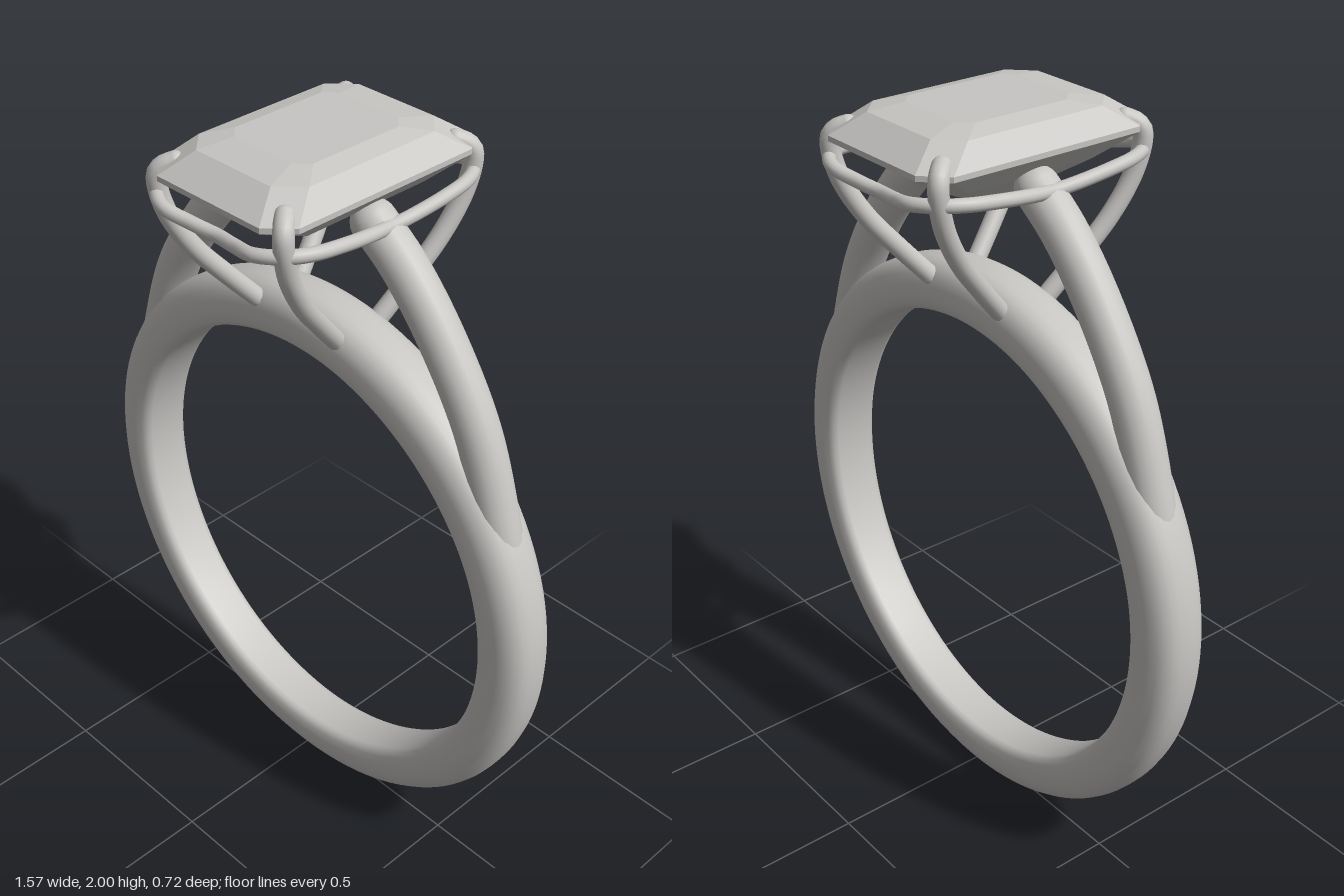
import * as THREE from 'three';

const silver = new THREE.MeshStandardMaterial({ color: 0xc8c6c3 });
silver.name = 'silver';

const v = (p) => new THREE.Vector3(...p);

function add(parent, name, geometry) {
  const mesh = new THREE.Mesh(geometry, silver);
  mesh.name = name;
  parent.add(mesh);
  return mesh;
}

// Round wire along a smooth path, with ball ends
function wire(parent, name, points, radius) {
  const group = new THREE.Group();
  group.name = name;
  const curve = new THREE.CatmullRomCurve3(points.map(v));
  add(group, name + 'Rod', new THREE.TubeGeometry(curve, 40, radius, 20));
  for (const p of [points[0], points[points.length - 1]]) {
    add(group, name + 'End', new THREE.SphereGeometry(radius, 20, 14)).position.set(...p);
  }
  parent.add(group);
}

// Finger band: rounded outside, flat inside, slightly wider at the top
function bandGeometry() {
  const half = [[0.782, 0.022], [0.777, 0.042], [0.765, 0.060], [0.745, 0.074], [0.72, 0.081],
    [0.69, 0.083], [0.664, 0.079], [0.65, 0.068], [0.645, 0.054]];
  const profile = [
    [0.645, 0],
    ...half.map(([r, z]) => [r, -z]).reverse(),
    [0.783, 0],
    ...half,
    [0.645, 0],
  ].map(([r, z]) => new THREE.Vector2(r, z));
  const g = new THREE.LatheGeometry(profile, 128);
  g.rotateX(Math.PI / 2);
  const pos = g.attributes.position;
  for (let i = 0; i < pos.count; i++) {
    pos.setZ(i, pos.getZ(i) * (1 + 0.11 * pos.getY(i) / 0.78));
  }
  g.translate(0, 0.782, 0);
  return g;
}

// Step-cut stone: stacked rectangles with cut corners, flat facets
function gemGeometry() {
  // half width, half depth, corner cut, height
  const rings = [
    [0.13, 0.172, 0.035, 2.0],
    [0.185, 0.262, 0.06, 1.986],
    [0.235, 0.342, 0.062, 1.932],
    [0.235, 0.342, 0.062, 1.918],
    [0.165, 0.235, 0.045, 1.852],
    [0.085, 0.12, 0.025, 1.792],
    [0.002, 0.02, 0.001, 1.73],
  ].map(([x, z, c, y]) => [
    [x, y, -z + c], [x, y, z - c], [x - c, y, z], [-x + c, y, z],
    [-x, y, z - c], [-x, y, -z + c], [-x + c, y, -z], [x - c, y, -z],
  ]);
  const out = [];
  const tri = (...pts) => pts.forEach((p) => out.push(...p));
  const top = rings[0], bottom = rings[rings.length - 1];
  for (let j = 0; j < 8; j++) {
    const k = (j + 1) % 8;
    tri([0, 2.0, 0], top[k], top[j]);
    tri([0, 1.73, 0], bottom[j], bottom[k]);
    for (let i = 0; i < rings.length - 1; i++) {
      const a = rings[i], b = rings[i + 1];
      tri(a[j], a[k], b[j]);
      tri(a[k], b[k], b[j]);
    }
  }
  const g = new THREE.BufferGeometry();
  g.setAttribute('position', new THREE.Float32BufferAttribute(out, 3));
  g.computeVertexNormals();
  return g;
}

// Wavy gallery rail around the stone, mirrored from one quarter
function railGeometry() {
  const quarter = [[0.246, 1.838, 0], [0.252, 1.844, 0.07], [0.256, 1.856, 0.17], [0.249, 1.864, 0.25],
    [0.219, 1.866, 0.308], [0.155, 1.86, 0.344], [0.075, 1.844, 0.328], [0, 1.836, 0.315]];
  const mirror = (list, sx, sz) => list.map(([x, y, z]) => [x * sx, y, z * sz]);
  const back = [...quarter].reverse();
  const loop = [
    ...quarter.slice(0, -1),
    ...mirror(back, -1, 1).slice(0, -1),
    ...mirror(quarter, -1, -1).slice(0, -1),
    ...mirror(back, 1, -1).slice(0, -1),
  ];
  return new THREE.TubeGeometry(new THREE.CatmullRomCurve3(loop.map(v), true), 160, 0.0175, 14, true);
}

export function createModel() {
  const ring = new THREE.Group();
  ring.name = 'ring';

  add(ring, 'band', bandGeometry());
  add(ring, 'gem', gemGeometry());
  add(ring, 'galleryRail', railGeometry());

  for (const sx of [1, -1]) {
    const side = sx > 0 ? 'left' : 'right';

    // Arched shoulder from the band up to the setting
    wire(ring, side + 'Shoulder', [[0.665, 1.02, 0], [0.618, 1.2, 0], [0.54, 1.415, 0],
      [0.415, 1.61, 0], [0.29, 1.75, 0], [0.19, 1.827, 0]].map(([x, y, z]) => [x * sx, y, z]), 0.057);

    // Claws curving out from the band and hooking over the stone's corners
    for (const sz of [1, -1]) {
      wire(ring, side + (sz > 0 ? 'Front' : 'Back') + 'Prong', [[0.142, 1.515, 0.075], [0.165, 1.6, 0.15],
        [0.19, 1.7, 0.232], [0.208, 1.8, 0.288], [0.216, 1.88, 0.309], [0.214, 1.915, 0.308],
        [0.203, 1.932, 0.296], [0.185, 1.942, 0.276]].map(([x, y, z]) => [x * sx, y, z * sz]), 0.025);
    }
  }
  return ring;
}
